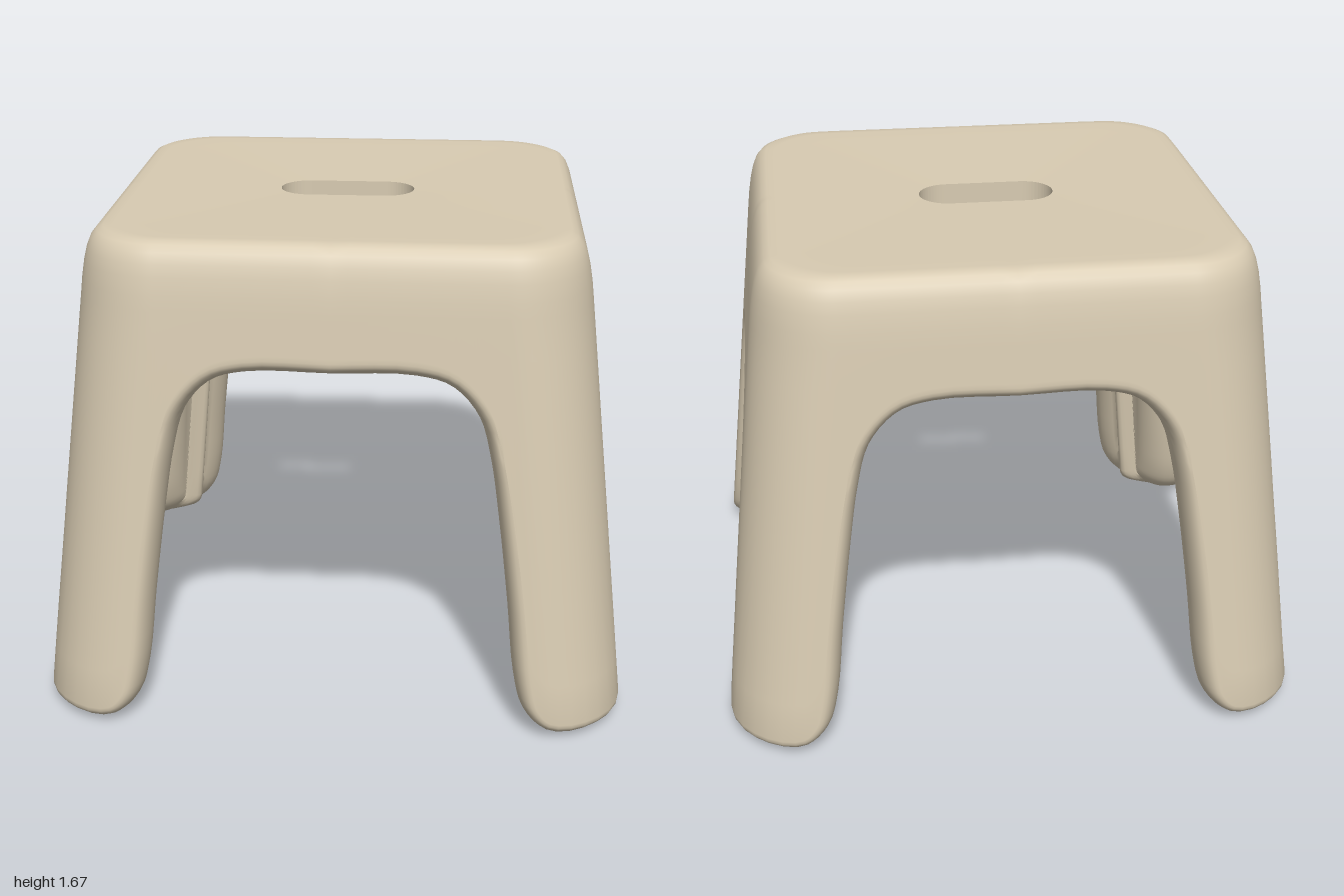
import * as THREE from 'three';
import { mergeGeometries, toCreasedNormals } from 'three/addons/utils/BufferGeometryUtils.js';

const RADIUS = 0.28;                    // outer corner radius in plan
const STRAIGHT = 0.67, ARC = 0.44;      // plan perimeter: straight, corner, straight
const TOTAL = STRAIGHT * 2 + ARC;
const THICK = 0.22;                     // wall thickness
const ROUND_OUT = 0.055, ROUND_IN = 0.1; // softness of the lower rim
const LEG_BULGE = 0.095;                // extra fullness inside each leg
const WALL_TOP = 1.45, INNER_TOP = 1.34;
const halfWidth = (y) => 1.01 - 0.107 * y;   // tapering walls

// Point on the rounded-square wall: s along a quarter perimeter, d inward from the outside
function wallPoint(s, y, d, X = halfWidth(y)) {
  const L = X - RADIUS, k = L / STRAIGHT, rho = Math.max(RADIUS - d, 0.01);
  const p = new THREE.Vector3();
  if (s <= STRAIGHT) p.set(s * k, y, L + rho);
  else if (s >= STRAIGHT + ARC) p.set(L + rho, y, (TOTAL - s) * k);
  else {
    const a = ((s - STRAIGHT) / ARC) * Math.PI / 2;
    p.set(L + rho * Math.sin(a), y, L + rho * Math.cos(a));
  }
  // the inside of a corner swells towards the middle, so a leg is pill-shaped
  const off = Math.min(1, Math.abs(s - TOTAL / 2) / 0.35);
  const depth = THREE.MathUtils.clamp(d / THICK, 0, 1);
  const b = LEG_BULGE * Math.cos(off * Math.PI / 2) ** 2 * depth ** 2 * Math.SQRT1_2;
  p.x -= b;
  p.z -= b;
  return p;
}

// Point on the oval hand hole
function holePoint(s, y) {
  const flat = 0.5, a = Math.max(0, (s - flat) / (TOTAL - flat)) * Math.PI / 2;
  const x = 0.135 * Math.min(1, s / flat) + 0.105 * Math.sin(a);
  return new THREE.Vector3(x, y, s >= TOTAL ? 0 : 0.105 * Math.cos(a));
}

// Lower rim over a quarter: arch, leg edge, foot, leg edge, arch
// [distance from the middle of the side, height, matching position at the seat]
const frontArch = [
  [0, 1.236, 0], [0.28, 1.236, 0.27], [0.4, 1.2, 0.38], [0.487, 1.1, 0.46], [0.53, 0.95, 0.52],
  [0.562, 0.75, 0.57], [0.6, 0.45, 0.62], [0.627, 0.2, 0.67], [0.66, 0.085, 0.72], [0.74, 0.015, 0.79],
];
const sideArch = [
  [0, 1.085, 0], [0.2, 1.085, 0.2], [0.33, 1.05, 0.31], [0.408, 0.97, 0.4], [0.453, 0.84, 0.46],
  [0.497, 0.6, 0.53], [0.547, 0.3, 0.6], [0.58, 0.15, 0.66], [0.62, 0.065, 0.72], [0.7, 0.012, 0.79],
];

function rimCurve() {
  const toS = ([x, y, st]) => new THREE.Vector3(x * STRAIGHT / (halfWidth(y) - RADIUS), y, st);
  const front = frontArch.map(toS);
  const side = sideArch.map(toS).reverse();
  side.forEach((p) => { p.x = TOTAL - p.x; p.z = TOTAL - p.z; });
  return new THREE.CatmullRomCurve3([...front, new THREE.Vector3(TOTAL / 2, 0, TOTAL / 2), ...side]);
}

// Closed section through the shell at one place along the rim
function section(curve, t) {
  const p = curve.getPoint(t), tan = curve.getTangent(t);
  const len = Math.hypot(tan.x, tan.y);
  let nx = -tan.y / len, ny = tan.x / len;
  if (t === 0 || t === 1) { nx = 0; ny = 1; }
  if (t === 1) p.set(TOTAL, p.y, TOTAL);
  const st = p.z, X = halfWidth(WALL_TOP), out = [];
  const mix = THREE.MathUtils.lerp;

  // underside of the seat, from the hole outwards
  const underEdge = wallPoint(st, 1.425, 0.34, X), underHole = holePoint(st, 1.43);
  for (let i = 0; i <= 5; i++) out.push(underHole.clone().lerp(underEdge, i / 5));
  out.push(wallPoint(st, 1.41, 0.275, X), wallPoint(st, 1.38, 0.238, X));
  // inner wall, downwards
  const N = 10;
  for (let i = 0; i < N; i++) {
    const f = i / N;
    out.push(wallPoint(mix(st, p.x + nx * ROUND_IN, f), mix(INNER_TOP, p.y + ny * ROUND_IN, f), THICK));
  }
  // rounded rim
  const M = 14;
  for (let i = 0; i <= M; i++) {
    const a = Math.PI * (1 - i / M);
    const e = (i < M / 2 ? ROUND_IN : ROUND_OUT) * (1 - Math.sin(a));
    out.push(wallPoint(p.x + nx * e, p.y + ny * e, THICK * (1 - Math.cos(a)) / 2));
  }
  // outer wall, upwards
  for (let i = 1; i <= N; i++) {
    const f = i / N;
    out.push(wallPoint(mix(p.x + nx * ROUND_OUT, st, f), mix(p.y + ny * ROUND_OUT, WALL_TOP, f), 0));
  }
  // soft shoulder
  for (const [d, y] of [[0.006, 1.5], [0.016, 1.56], [0.026, 1.6], [0.04, 1.635], [0.058, 1.657], [0.078, 1.667]])
    out.push(wallPoint(st, y, d, X));
  // nearly flat seat, towards the hole
  const edge = wallPoint(st, 1.668, 0.11, X), hole = holePoint(st, 1.655);
  for (let i = 0; i <= 8; i++) out.push(edge.clone().lerp(hole, i / 8));
  return out;
}

// One quarter of the shell, mirrored by the signs
function quarter(sections, sx, sz) {
  const rows = sections[0].length, pos = [], idx = [];
  sections.forEach((c) => c.forEach((v) => pos.push(v.x * sx, v.y, v.z * sz)));
  for (let j = 0; j < sections.length - 1; j++) {
    for (let i = 0; i < rows; i++) {
      const n = (i + 1) % rows;
      const a = j * rows + i, b = (j + 1) * rows + i, c = (j + 1) * rows + n, d = j * rows + n;
      if (sx * sz > 0) idx.push(a, b, c, a, c, d);
      else idx.push(a, c, b, a, d, c);
    }
  }
  const g = new THREE.BufferGeometry();
  g.setAttribute('position', new THREE.Float32BufferAttribute(pos, 3));
  g.setIndex(idx);
  return g;
}

export function createModel() {
  const group = new THREE.Group();
  group.name = 'stool';
  const beige = new THREE.MeshStandardMaterial({ color: 0xd8cbb2 });
  beige.name = 'beige plastic';

  const curve = rimCurve(), steps = 80, sections = [];
  for (let j = 0; j <= steps; j++) sections.push(section(curve, j / steps));
  const parts = [[1, 1], [-1, 1], [1, -1], [-1, -1]].map(([sx, sz]) => quarter(sections, sx, sz));
  const shell = new THREE.Mesh(toCreasedNormals(mergeGeometries(parts), 0.9), beige);
  shell.name = 'seatAndLegs';
  group.add(shell);
  return group;
}
